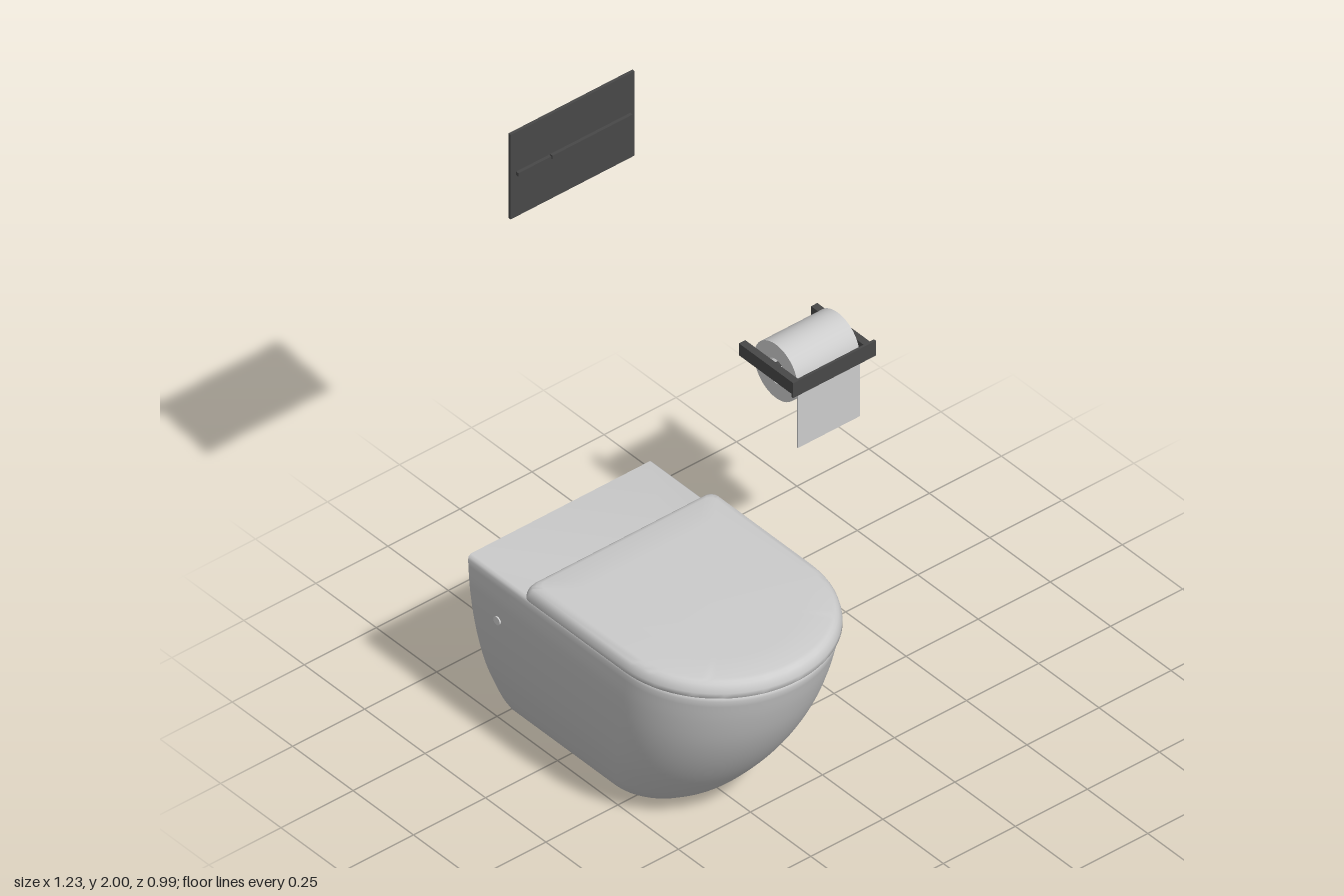
import * as THREE from 'three';
import { toCreasedNormals } from 'three/addons/utils/BufferGeometryUtils.js';

const CX = -0.285; // centre line of the bowl
const BACK = -0.495;

// D-shaped outline: round front, straight sides, square or rounded back corners
function outline(w, front, back, r) {
  const pts = [];
  const zc = front - w;
  const arc = (cx, cz, rad, a0, a1, n) => {
    for (let i = 0; i <= n; i++) {
      const a = a0 + ((a1 - a0) * i) / n;
      pts.push([cx + rad * Math.cos(a), cz + rad * Math.sin(a)]);
    }
  };
  arc(0, zc, w, 0, Math.PI, 48);
  if (r > 0) {
    arc(-w + r, back + r, r, Math.PI, Math.PI * 1.5, 6);
    arc(w - r, back + r, r, Math.PI * 1.5, Math.PI * 2, 6);
  } else {
    pts.push([-w, back], [w, back]);
  }
  return pts;
}

// Skin a stack of outlines [{ y, pts }] from bottom to top and close both ends
function loft(rings, crease) {
  const pos = [];
  const index = [];
  const n = rings[0].pts.length;
  for (const { y, pts } of rings) for (const [x, z] of pts) pos.push(x, y, z);
  for (let i = 0; i < rings.length - 1; i++) {
    for (let j = 0; j < n; j++) {
      const a = i * n + j, b = i * n + ((j + 1) % n);
      index.push(a, a + n, b, b, a + n, b + n);
    }
  }
  const cap = (i, up) => {
    const zs = rings[i].pts.map((p) => p[1]);
    const centre = pos.length / 3;
    pos.push(0, rings[i].y, (Math.min(...zs) + Math.max(...zs)) / 2);
    for (let j = 0; j < n; j++) {
      const a = i * n + j, b = i * n + ((j + 1) % n);
      if (up) index.push(centre, b, a);
      else index.push(centre, a, b);
    }
  };
  cap(0, false);
  cap(rings.length - 1, true);
  const geo = new THREE.BufferGeometry();
  geo.setAttribute('position', new THREE.Float32BufferAttribute(pos, 3));
  geo.setIndex(index);
  return toCreasedNormals(geo, crease);
}

export function createModel() {
  const model = new THREE.Group();
  model.name = 'toiletSet';
  const ceramic = new THREE.MeshStandardMaterial({ color: 0xcccccc });
  ceramic.name = 'whiteCeramicAndPaper';
  const dark = new THREE.MeshStandardMaterial({ color: 0x484848 });
  dark.name = 'darkMetal';

  const add = (parent, name, geo, mat, x = 0, y = 0, z = 0) => {
    const mesh = new THREE.Mesh(geo, mat);
    mesh.name = name;
    mesh.position.set(x, y, z);
    parent.add(mesh);
    return mesh;
  };
  // Box given by its limits on each axis
  const box = (parent, name, mat, [x0, x1], [y0, y1], [z0, z1]) =>
    add(parent, name, new THREE.BoxGeometry(x1 - x0, y1 - y0, z1 - z0), mat,
      (x0 + x1) / 2, (y0 + y1) / 2, (z0 + z1) / 2);

  // Bowl: half width and front reach grow with height
  const toilet = new THREE.Group();
  toilet.name = 'toilet';
  toilet.position.x = CX;
  model.add(toilet);
  const profile = new THREE.CatmullRomCurve3([
    [0.168, 0.004, 0.1], [0.195, 0.05, 0.16], [0.218, 0.1, 0.212], [0.257, 0.2, 0.298],
    [0.284, 0.3, 0.367], [0.303, 0.4, 0.42], [0.315, 0.5, 0.458], [0.32, 0.585, 0.482],
  ].map((p) => new THREE.Vector3(...p)));
  const bowlRings = [{ y: 0, pts: outline(0.163, 0.09, BACK, 0) }];
  for (const p of profile.getPoints(28)) {
    bowlRings.push({ y: p.y, pts: outline(p.x, p.z, BACK, 0) });
  }
  bowlRings.push({ y: 0.594, pts: outline(0.318, 0.48, BACK, 0) });
  bowlRings.push({ y: 0.6, pts: outline(0.311, 0.473, BACK, 0) });
  add(toilet, 'bowl', loft(bowlRings, 0.75), ceramic);

  // Lid with a softly rounded rim
  const lidRings = [
    [0.601, 0.003], [0.605, 0], [0.618, 0.001], [0.632, 0.005],
    [0.641, 0.011], [0.647, 0.019], [0.65, 0.03], [0.652, 0.12],
  ].map(([y, inset]) => ({
    y, pts: outline(0.33 - inset, 0.49 - inset, -0.258 + inset, 0.025),
  }));
  add(toilet, 'lid', loft(lidRings, 0.75), ceramic);

  // Fixing caps on both sides
  for (const side of [-1, 1]) {
    const capGeo = new THREE.CylinderGeometry(0.013, 0.013, 0.014, 20);
    add(toilet, 'fixingCap', capGeo, ceramic, side * 0.307, 0.44, -0.385).rotation.z = Math.PI / 2;
  }

  // Flush plate with a split button strip
  const flush = new THREE.Group();
  flush.name = 'flushPlate';
  model.add(flush);
  box(flush, 'plate', dark, [-0.505, -0.075], [1.715, 2], [-0.447, -0.438]);
  box(flush, 'smallButton', dark, [-0.486, -0.372], [1.855, 1.867], [-0.438, -0.428]);
  box(flush, 'largeButton', dark, [-0.368, -0.09], [1.855, 1.867], [-0.438, -0.428]);

  // Paper holder: front bar, two arms and short pegs
  const holder = new THREE.Group();
  holder.name = 'paperHolder';
  model.add(holder);
  box(holder, 'frontBar', dark, [0.328, 0.615], [0.8, 0.85], [-0.27, -0.262]);
  const mid = 0.471;
  for (const side of [-1, 1]) {
    add(holder, 'arm', new THREE.BoxGeometry(0.022, 0.04, 0.225), dark,
      mid + side * 0.125, 0.822, -0.3825);
    add(holder, 'peg', new THREE.CylinderGeometry(0.008, 0.008, 0.025, 16), dark,
      mid + side * 0.106, 0.822, -0.378).rotation.z = Math.PI / 2;
  }

  // Paper roll with an open core and a hanging sheet
  const h = 0.1075;
  const ring = [[0.04, -h], [0.09, -h], [0.09, h], [0.04, h], [0.04, -h]]
    .map(([r, y]) => new THREE.Vector2(r, y));
  const rollGeo = toCreasedNormals(new THREE.LatheGeometry(ring, 48), 0.6);
  add(model, 'paperRoll', rollGeo, ceramic, mid, 0.805, -0.376).rotation.z = Math.PI / 2;
  box(model, 'paperSheet', ceramic, [mid - h, mid + h], [0.6, 0.805], [-0.288, -0.285]);

  return model;
}
